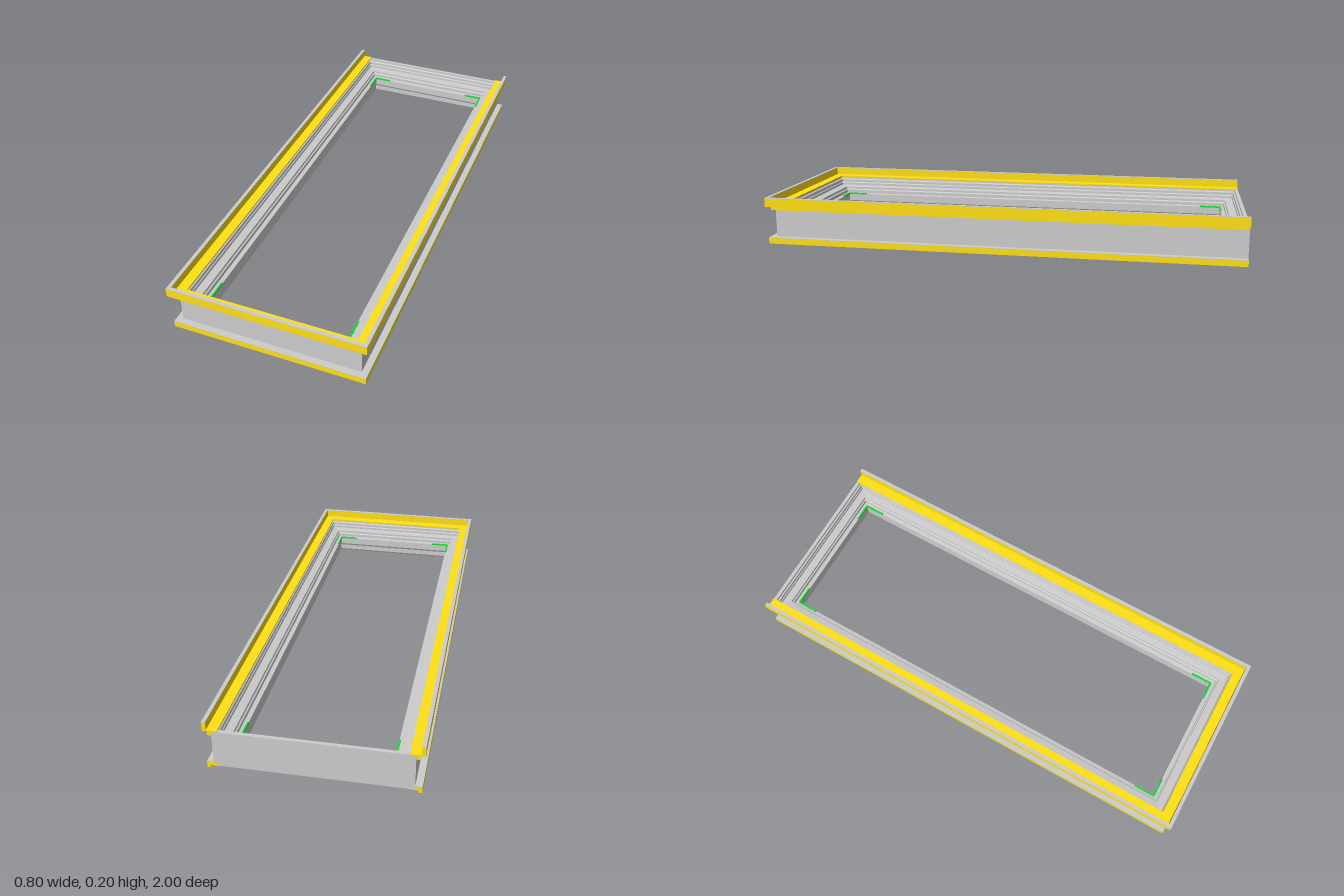
import * as THREE from 'three';

const W = 0.367, FRONT = 0.967, BACK = -1; // outer faces of the frame body

const grey = new THREE.MeshStandardMaterial({ color: 0xcccccc, flatShading: true });
const yellow = new THREE.MeshStandardMaterial({ color: 0xffe014, flatShading: true });
const green = new THREE.MeshStandardMaterial({ color: 0x10e030, flatShading: true });

// Sweep a counter-clockwise profile of [inset, height] around the frame with mitred corners.
// A closed sweep runs round all four sides, an open one leaves out the back.
function sweep(name, profile, material, closed) {
  const pos = [];
  const corner = (i, k) => {
    const [d, y] = profile[k % profile.length];
    const c = i % 4;
    const x = (c < 2 ? 1 : -1) * (W - d);
    const z = c === 1 || c === 2 ? FRONT - d : BACK + (closed ? d : 0);
    return [x, y, z];
  };
  for (let i = 0; i < (closed ? 4 : 3); i++) {
    for (let k = 0; k < profile.length; k++) {
      const a = corner(i, k), b = corner(i, k + 1);
      const c = corner(i + 1, k + 1), d = corner(i + 1, k);
      pos.push(...a, ...d, ...c, ...a, ...c, ...b);
    }
  }
  if (!closed) {
    const outline = profile.map(([d, y]) => new THREE.Vector2(d, y));
    for (const [p, q, r] of THREE.ShapeUtils.triangulateShape(outline, [])) {
      pos.push(...corner(0, p), ...corner(0, q), ...corner(0, r));
      pos.push(...corner(3, r), ...corner(3, q), ...corner(3, p));
    }
  }
  const geometry = new THREE.BufferGeometry();
  geometry.setAttribute('position', new THREE.Float32BufferAttribute(pos, 3));
  geometry.computeVertexNormals();
  const mesh = new THREE.Mesh(geometry, material);
  mesh.name = name;
  return mesh;
}

// Rectangular profile between two insets and two heights
const rect = (d0, d1, y0, y1) => [[d0, y0], [d1, y0], [d1, y1], [d0, y1]];

export function createModel() {
  const model = new THREE.Group();
  model.name = 'rectangularFrame';

  // Body: flat outside, stepped ridges inside, narrow lower opening, grooved underside
  model.add(sweep('frameBody', [
    [0, 0.012], [0.03, 0.012], [0.034, 0.02], [0.052, 0.02], [0.056, 0.012],
    [0.07, 0.012], [0.076, 0.022], [0.076, 0.045], [0.082, 0.055], [0.082, 0.088],
    [0.064, 0.09], [0.064, 0.104], [0.058, 0.108], [0.058, 0.118], [0.026, 0.122],
    [0.026, 0.132], [0.022, 0.136], [0.022, 0.148], [0.015, 0.152], [0.015, 0.162],
    [0, 0.162],
  ], grey, true));

  // Upper trim: stepped ledge with an upright outer lip
  model.add(sweep('upperTrim', [
    [-0.015, 0.145], [0.0005, 0.145], [0.0005, 0.16], [0.022, 0.16], [0.022, 0.166],
    [-0.018, 0.166], [-0.018, 0.198], [-0.033, 0.198], [-0.033, 0.162], [-0.015, 0.162],
  ], yellow, false));
  model.add(sweep('upperTrimEdge', rect(-0.033, -0.018, 0.198, 0.2), grey, false));

  // Lower trim: flange with a downward outer lip
  model.add(sweep('lowerTrim', [
    [-0.026, 0], [-0.012, 0], [-0.012, 0.01], [0.02, 0.01], [0.02, 0.025], [-0.026, 0.025],
  ], yellow, false));
  model.add(sweep('lowerTrimEdge', rect(-0.026, 0.001, 0.025, 0.027), grey, false));

  // Small corner strips on the inner ledge
  const inset = 0.08;
  const strip = (w, l, x, z) => {
    const mesh = new THREE.Mesh(new THREE.BoxGeometry(w, 0.006, l), green);
    mesh.name = 'cornerStrip';
    mesh.position.set(x, 0.089, z);
    model.add(mesh);
  };
  for (const s of [-1, 1]) {
    for (const [end, dir] of [[FRONT - inset, -1], [BACK + inset, 1]]) {
      strip(0.007, 0.09, s * (W - inset), end + dir * 0.045);
      strip(0.08, 0.007, s * (W - inset - 0.04), end);
    }
  }
  return model;
}
